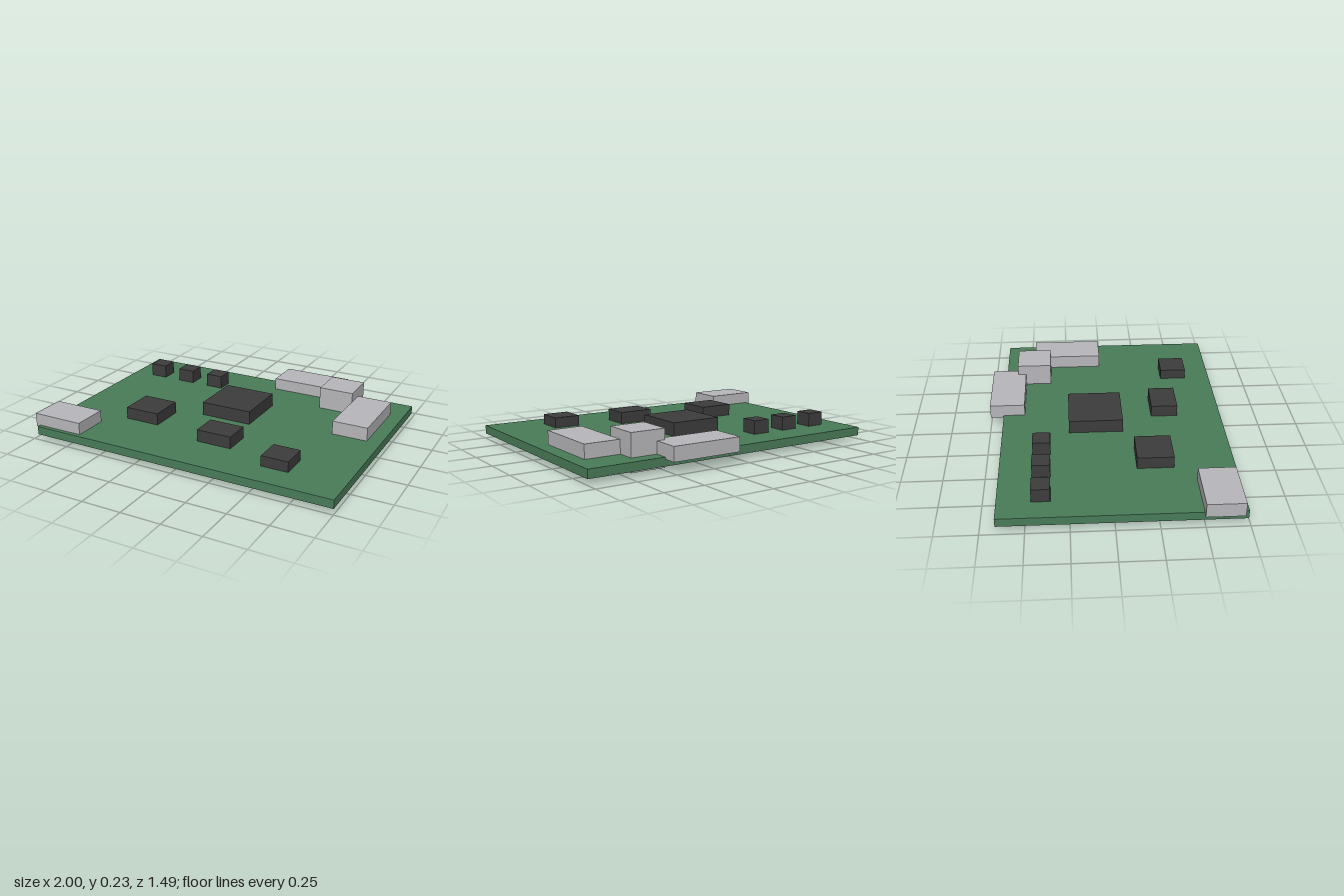
import * as THREE from 'three';

function makeMaterial(name, color) {
  const material = new THREE.MeshStandardMaterial({ color });
  material.name = name;
  return material;
}

export function createModel() {
  const group = new THREE.Group();
  group.name = 'circuitBoard';

  const green = makeMaterial('boardGreen', 0x4a7c59);
  const dark = makeMaterial('chipCharcoal', 0x3d3d3d);
  const metal = makeMaterial('connectorGrey', 0xb8b8bc);

  // Box given by its extents along each axis
  function box(name, material, [x0, x1], [y0, y1], [z0, z1]) {
    const mesh = new THREE.Mesh(new THREE.BoxGeometry(x1 - x0, y1 - y0, z1 - z0), material);
    mesh.position.set((x0 + x1) / 2, (y0 + y1) / 2, (z0 + z1) / 2);
    mesh.name = name;
    group.add(mesh);
  }

  // Board
  const top = 0.085;
  box('board', green, [-0.972, 0.997], [0.032, top], [-0.663, 0.742]);

  // Chips, seated just into the board
  const seat = top - 0.005;
  box('mainProcessor', dark, [-0.155, 0.178], [seat, 0.17], [-0.242, 0.097]);
  box('memoryChip', dark, [-0.552, -0.325], [seat, 0.16], [0.153, 0.374]);
  box('controllerChip', dark, [0.01, 0.236], [seat, 0.16], [0.292, 0.46]);
  box('smallChip', dark, [0.49, 0.659], [seat, 0.15], [0.405, 0.574]);

  // Row of three power components
  for (let i = 0; i < 3; i++) {
    const x = -0.778 + i * 0.2265;
    box('powerComponent' + (i + 1), dark, [x - 0.056, x + 0.056], [seat, 0.17], [-0.466, -0.357]);
  }

  // Connectors; two overhang the board edge, one passes through it
  box('rearConnector', metal, [0.068, 0.518], [0.072, 0.16], [-0.747, -0.525]);
  box('throughConnector', metal, [0.464, 0.685], [0, 0.226], [-0.578, -0.357]);
  box('sideConnector', metal, [0.687, 0.91], [seat, 0.17], [-0.466, -0.015]);
  box('cornerConnector', metal, [-1, -0.667], [0.072, 0.16], [0.494, 0.717]);

  return group;
}
